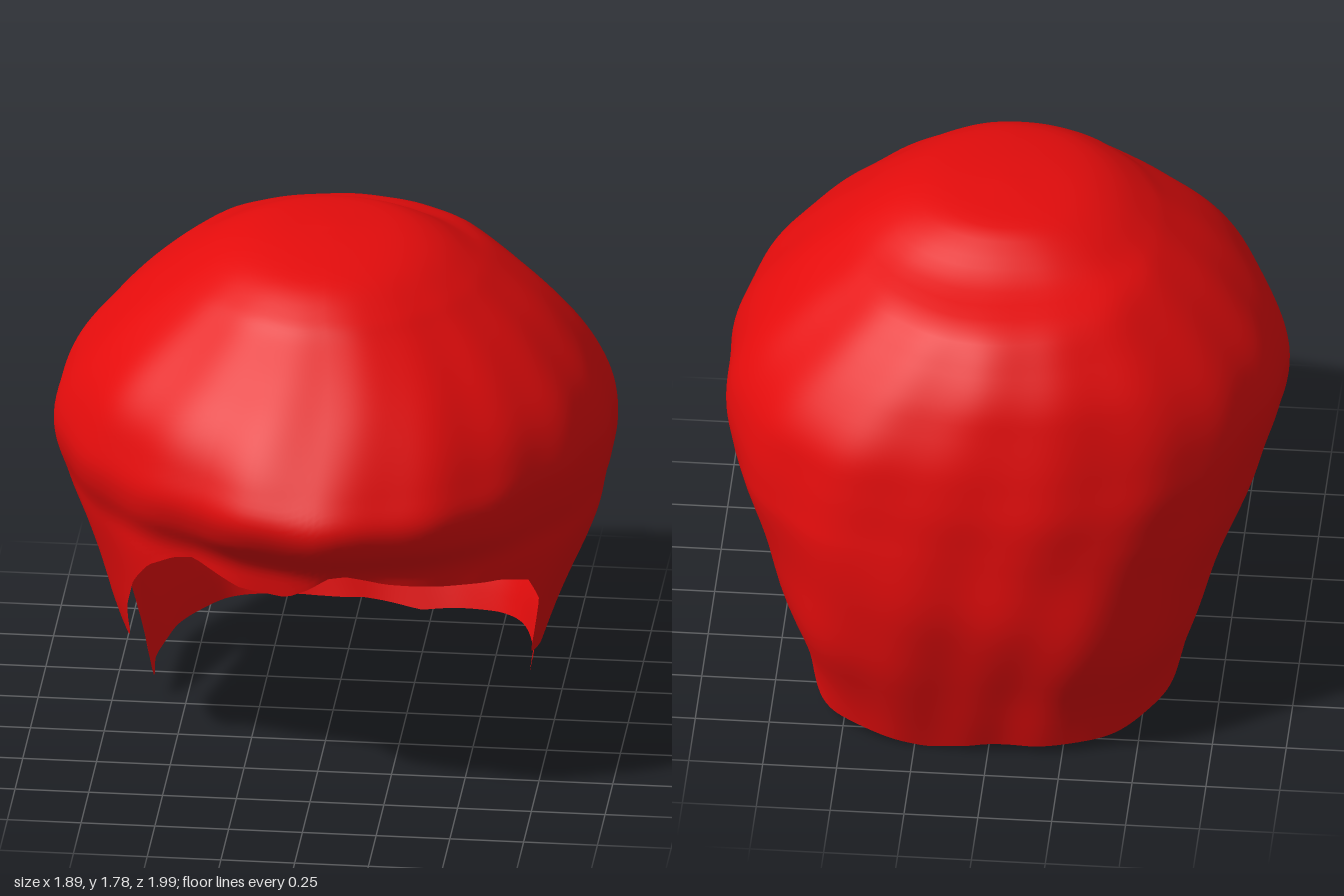
import * as THREE from 'three';

const COLS = 130; // columns on each side
const ROWS = 56;
const CZ = -0.05; // depth of the crown axis

// Shell profile from crown to nape: height, half width, front z, back z
const profile = [
  [1.785, 0, CZ, CZ], [1.77, 0.22, 0.14, -0.28], [1.73, 0.36, 0.35, -0.38],
  [1.66, 0.48, 0.48, -0.5], [1.6, 0.56, 0.55, -0.69], [1.5, 0.68, 0.67, -0.79],
  [1.4, 0.78, 0.78, -0.86], [1.3, 0.86, 0.87, -0.9], [1.2, 0.91, 0.94, -0.93],
  [1.1, 0.935, 0.99, -0.95], [1.0, 0.935, 0.96, -0.97], [0.9, 0.915, 0.87, -0.98],
  [0.8, 0.885, 0.84, -0.985], [0.6, 0.79, 0.8, -0.985], [0.4, 0.72, 0.75, -0.955],
  [0.2, 0.655, 0.72, -0.9], [0, 0.62, 0.7, -0.85], [-0.2, 0.6, 0.68, -0.8],
];

// Lower edge on each side: degrees from the front, height
const leftRim = [
  [0, 0.88], [3.5, 0.89], [12, 0.85], [26.5, 0.82], [41, 0.8], [51, 0.75], [58, 0.64], [61, 0.5],
  [63, 0.42], [66, 0.38], [76, 0.36], [80, 0.41], [83, 0.48], [88, 0.58], [89.5, 0.67], [92.5, 0.71],
  [99, 0.695], [102.5, 0.63], [102, 0.48], [102.5, 0.38], [99, 0.24], [99.5, 0.09],
  [115, 0.06], [140, 0.04], [162, 0], [180, 0.03],
];
const rightRim = [
  [0, 0.88], [4.5, 0.83], [9.5, 0.79], [20, 0.8], [26, 0.84], [31, 0.87], [36, 0.85], [43, 0.79],
  [51, 0.68], [58, 0.55], [61.5, 0.43], [66, 0.38], [76, 0.37], [83, 0.48], [88, 0.58], [90, 0.66],
  [97, 0.67], [101, 0.6], [102, 0.5], [101.5, 0.4], [98, 0.33], [93, 0.25], [89, 0.17], [89.5, 0.08],
  [93, 0.07], [97, 0.09], [115, 0.06], [140, 0.05], [165, 0.03], [180, 0.03],
];

const spline = new THREE.CubicInterpolant(profile.map((_, i) => i), profile.flat(), 4);
const levelAt = (s) => Array.from(spline.evaluate(s));

// Profile parameter that reaches a given height
function levelOfHeight(y) {
  let lo = 0, hi = profile.length - 1;
  for (let k = 0; k < 30; k++) {
    const mid = (lo + hi) / 2;
    if (levelAt(mid)[0] > y) lo = mid; else hi = mid;
  }
  return lo;
}

// Evenly spaced points along one lower edge
function resample(rim) {
  const path = new THREE.CurvePath();
  const pts = rim.map(([a, y]) => new THREE.Vector2(a * 0.0148, y));
  for (let i = 1; i < pts.length; i++) path.add(new THREE.LineCurve(pts[i - 1], pts[i]));
  return Array.from({ length: COLS + 1 }, (_, i) => {
    const p = path.getPointAt(i / COLS);
    return [p.x / 0.0148, p.y];
  });
}

const { lerp, smoothstep, degToRad } = THREE.MathUtils;
const bump = (v, center, width) => Math.exp(-(((v - center) / width) ** 2));

// Roundness of each quarter by height: 1 is an ellipse, lower is squarer
function roundness(y, front, left) {
  const low = smoothstep(y, 0.3, 1), high = smoothstep(y, 1.1, 1.45);
  if (front) return lerp(0.75, 1.13, smoothstep(y, 0.4, 1.05)) - (left ? 0 : 0.17 * high);
  return left ? 0.55 + 0.25 * low + 0.17 * high : 0.62 + 0.27 * low;
}

// Point on the shell for a profile parameter and an angle from the front
function shellPoint(s, degrees) {
  const [y, w, f, b] = levelAt(s);
  const a = degToRad(degrees);
  const sn = Math.sin(a), cs = Math.cos(a);
  const n = 2 / roundness(y, cs > 0, sn > 0);
  const reach = (Math.abs(sn) ** n + Math.abs(cs) ** n) ** (-1 / n);

  // Soft locks and the fuller right temple
  const body = smoothstep(s, 1, 6);
  const locks = 0.005 * Math.sin(a * 9 + y * 3) + 0.004 * Math.sin(a * 17 - y * 5)
    + 0.004 * Math.sin(y * 13 + a * 4);
  const temple = 0.02 * bump(degrees, 292, 14) * bump(y, 1.15, 0.2);
  const r = reach * (1 + body * (locks + temple));

  const lean = 0.06 * Math.max(0, cs) ** 2 * body + 0.015 * smoothstep(s, 9, 12);
  return [w * sn * r + lean, y, CZ + (cs > 0 ? f - CZ : CZ - b) * cs * r];
}

function hairGeometry() {
  const left = resample(leftRim).map(([a, y], i) => [(i / COLS) * 180, a, y]);
  const right = resample(rightRim).map(([a, y], i) => [360 - (i / COLS) * 180, 360 - a, y]);
  const columns = [...left, ...right.reverse().slice(1, -1)];
  const n = columns.length;
  const position = [], index = [];

  // Each column runs from the crown and leans toward its edge point
  for (const [top, end, y] of columns) {
    const last = levelOfHeight(y);
    for (let j = 0; j <= ROWS; j++) {
      const t = j / ROWS;
      position.push(...shellPoint(last * t, lerp(top, end, t ** 3)));
    }
  }
  for (let i = 0; i < n; i++) {
    for (let j = 0; j < ROWS; j++) {
      const a = i * (ROWS + 1) + j, d = ((i + 1) % n) * (ROWS + 1) + j;
      if (j > 0) index.push(a, a + 1, d);
      index.push(a + 1, d + 1, d);
    }
  }
  const g = new THREE.BufferGeometry();
  g.setAttribute('position', new THREE.Float32BufferAttribute(position, 3));
  g.setIndex(index);
  g.computeVertexNormals();
  // One shared upward normal at the crown
  for (let i = 0; i < n; i++) g.attributes.normal.setXYZ(i * (ROWS + 1), 0, 1, 0);
  return g;
}

export function createModel() {
  const group = new THREE.Group();
  group.name = 'hair';
  const red = new THREE.MeshStandardMaterial({ color: 0xe40c0c, side: THREE.DoubleSide });
  red.name = 'red';
  const shell = new THREE.Mesh(hairGeometry(), red);
  shell.name = 'hairShell';
  group.add(shell);
  return group;
}
